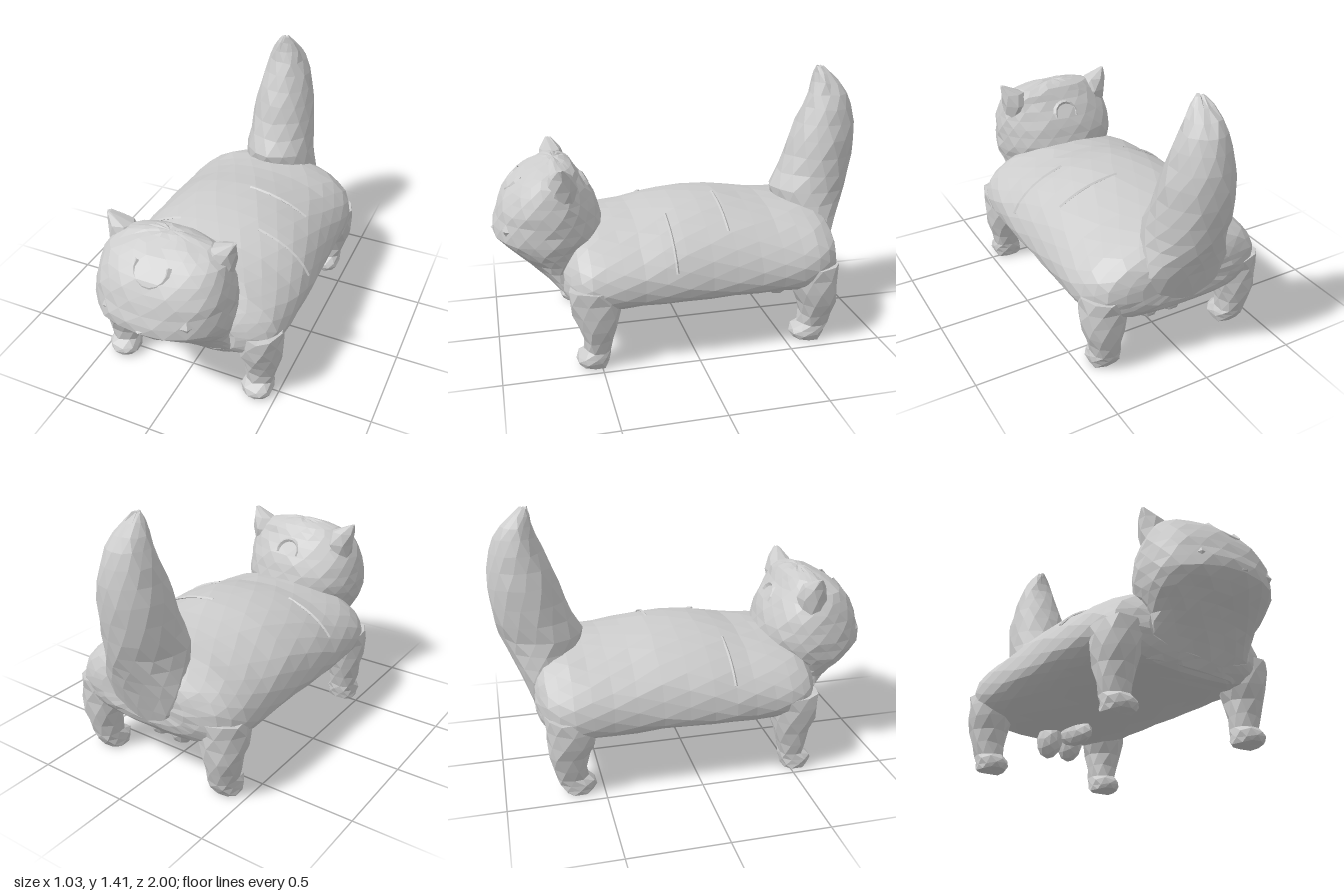
import * as THREE from 'three';

const material = new THREE.MeshStandardMaterial({ color: 0xcccccc, flatShading: true, side: THREE.DoubleSide });

// Small repeatable wobble that gives the hand-cut facets
const wobble = (i, j) => {
  const s = Math.sin(i * 127.1 + j * 311.7) * 43758.5453;
  return (s - Math.floor(s) - 0.5) * 0.016;
};
const power = (v, e) => Math.sign(v) * Math.pow(Math.abs(v), e);

// Smoothly interpolate rows of numbers
function refine(rows, count) {
  const out = [];
  for (let i = 0; i <= count; i++) {
    const t = (i / count) * (rows.length - 1);
    const k = Math.min(Math.floor(t), rows.length - 2), f = t - k;
    const at = n => rows[Math.max(0, Math.min(rows.length - 1, n))];
    out.push(rows[k].map((_, c) => {
      const [a, b, d, e] = [at(k - 1)[c], at(k)[c], at(k + 1)[c], at(k + 2)[c]];
      return b + 0.5 * f * (d - a + f * (2 * a - 5 * b + 4 * d - e + f * (3 * (b - d) + e - a)));
    }));
  }
  return out;
}

// Skin closed rings; pointAt(row, angle) returns [x, y, z]
function loft(name, rows, count, sides, pointAt, rough) {
  const pos = [], index = [];
  refine(rows, count).forEach((row, i) => {
    for (let j = 0; j < sides; j++) {
      const a = ((j + (i % 2) * 0.5) / sides) * Math.PI * 2;
      pos.push(...pointAt(row, a).map((v, c) => v + rough * wobble(i * 3 + c, j)));
    }
  });
  for (let i = 0; i < count; i++) for (let j = 0; j < sides; j++) {
    const k = (j + 1) % sides;
    const a = i * sides + j, b = i * sides + k, c = a + sides, d = b + sides;
    if (i % 2) index.push(a, d, c, a, b, d);
    else index.push(a, b, c, b, d, c);
  }
  // End caps
  for (const end of [0, count]) {
    const m = [0, 0, 0];
    for (let j = 0; j < sides; j++) for (let c = 0; c < 3; c++) m[c] += pos[(end * sides + j) * 3 + c] / sides;
    const centre = pos.length / 3;
    pos.push(...m);
    for (let j = 0; j < sides; j++) {
      const a = end * sides + j, b = end * sides + (j + 1) % sides;
      index.push(centre, ...(end ? [a, b] : [b, a]));
    }
  }
  const g = new THREE.BufferGeometry();
  g.setAttribute('position', new THREE.Float32BufferAttribute(pos, 3));
  g.setIndex(index);
  g.computeVertexNormals();
  return named(name, g);
}

function named(name, geometry) {
  const mesh = new THREE.Mesh(geometry, material);
  mesh.name = name;
  return mesh;
}

// Body rows: z, half width, widest height, top, bottom
const bodyRows = [
  [-0.81, 0.26, 0.46, 0.58, 0.36], [-0.76, 0.42, 0.44, 0.66, 0.29], [-0.64, 0.495, 0.43, 0.7, 0.26],
  [-0.45, 0.505, 0.42, 0.715, 0.26], [-0.2, 0.505, 0.42, 0.755, 0.265], [0.06, 0.515, 0.42, 0.75, 0.265],
  [0.28, 0.515, 0.42, 0.705, 0.265], [0.47, 0.505, 0.42, 0.68, 0.26], [0.59, 0.465, 0.42, 0.64, 0.26],
  [0.66, 0.32, 0.42, 0.55, 0.32],
];
function bodyPoint([z, w, y, top, bottom], a) {
  const c = Math.cos(a), s = Math.sin(a);
  return s >= 0 ? [w * c, y + (top - y) * s, z]
    : [w * power(c, 0.75), y + (y - bottom) * power(s, 0.75), z];
}

// Upright rows: y, centre x, half width, back z, front z
const uprightPoint = e => ([y, x, w, back, front], a) => [
  x + w * power(Math.cos(a), e), y,
  (back + front) / 2 - (front - back) / 2 * power(Math.sin(a), e),
];

export function createModel() {
  const model = new THREE.Group();
  model.name = 'cat';

  model.add(loft('body', bodyRows, 18, 26, bodyPoint, 0.5));

  // Head, with the chest running up to the chin
  model.add(loft('head', [
    [0.275, 0, 0.27, 0.54, 0.62], [0.37, 0, 0.3, 0.56, 0.71], [0.46, -0.01, 0.3, 0.55, 0.8],
    [0.54, -0.02, 0.33, 0.5, 0.9], [0.62, -0.02, 0.35, 0.42, 0.985], [0.72, -0.02, 0.35, 0.43, 0.97],
    [0.82, -0.015, 0.335, 0.47, 0.935], [0.91, -0.01, 0.295, 0.53, 0.86], [0.97, -0.01, 0.21, 0.57, 0.76],
    [1.0, -0.01, 0.07, 0.63, 0.69],
  ], 18, 20, uprightPoint(0.92), 0.6));

  // Nose and mouth: a wide flat wedge
  const nose = named('nose', new THREE.ConeGeometry(0.11, 0.07, 6));
  nose.rotation.x = Math.PI / 2;
  nose.scale.z = 0.3;
  nose.position.set(-0.02, 0.635, 0.965);
  model.add(nose);

  // Curled fur marks on the forehead and the back of the head
  for (const [y, z, tilt, size] of [[0.905, 0.85, -0.72, 0.085], [0.84, 0.493, Math.PI + 0.5, 0.065]]) {
    const curl = named('furCurl', new THREE.TorusGeometry(size, 0.014, 4, 9, Math.PI * 1.2));
    curl.position.set(-0.01, y, z);
    curl.rotation.set(tilt, 0, 2.8);
    model.add(curl);
  }

  for (const side of [-1, 1]) {
    const label = side > 0 ? 'left' : 'right';

    // Ears: broad triangles, upright outside and sloping inside
    model.add(loft(label + 'Ear', [
      [0.82, -0.015 + side * 0.25, 0.07, 0.58, 0.72], [0.9, -0.015 + side * 0.25, 0.082, 0.565, 0.725],
      [0.965, -0.015 + side * 0.268, 0.068, 0.59, 0.705], [1.015, -0.015 + side * 0.325, 0.01, 0.64, 0.67],
    ], 3, 7, uprightPoint(1), 0.3));

    // Eyes: faceted studs
    const eye = named(label + 'Eye', new THREE.OctahedronGeometry(0.05));
    eye.position.set(-0.015 + side * 0.205, 0.685, 0.915);
    eye.scale.z = 0.6;
    eye.rotation.y = side * 0.6;
    model.add(eye);

    // Legs, paws pointing forward
    model.add(loft(label + 'FrontLeg', [
      [0.005, side * 0.395, 0.075, 0.46, 0.61], [0.05, side * 0.395, 0.083, 0.45, 0.62],
      [0.1, side * 0.4, 0.075, 0.445, 0.575], [0.21, side * 0.405, 0.093, 0.425, 0.6],
      [0.32, side * 0.395, 0.115, 0.385, 0.645], [0.43, side * 0.4, 0.105, 0.38, 0.65],
    ], 8, 9, uprightPoint(0.85), 0.8));
    model.add(loft(label + 'BackLeg', [
      [0.005, side * 0.375, 0.075, -0.7, -0.55], [0.05, side * 0.375, 0.08, -0.73, -0.54],
      [0.1, side * 0.38, 0.075, -0.745, -0.585], [0.21, side * 0.39, 0.095, -0.765, -0.575],
      [0.32, side * 0.385, 0.12, -0.78, -0.525], [0.43, side * 0.385, 0.11, -0.78, -0.53],
    ], 8, 9, uprightPoint(0.85), 0.8));
  }

  // Tail: thick plume curving up from the rump
  model.add(loft('tail', [
    [0.34, 0, 0.16, -0.8, -0.74], [0.5, 0, 0.23, -0.86, -0.7], [0.62, 0, 0.225, -0.91, -0.6],
    [0.72, -0.005, 0.2, -0.95, -0.53], [0.85, -0.01, 0.185, -0.985, -0.59], [1.0, -0.01, 0.172, -1, -0.635],
    [1.13, -0.01, 0.143, -0.99, -0.69], [1.25, -0.012, 0.108, -0.955, -0.735],
    [1.34, -0.018, 0.068, -0.89, -0.76], [1.4, -0.02, 0.022, -0.81, -0.775],
  ], 14, 14, uprightPoint(1), 0.7));

  // Lumps under the rear belly: centre, radii, tilt
  for (const [x, y, z, rx, ry, rz, tilt] of [
    [0.02, 0.235, -0.41, 0.055, 0.07, 0.145, 0.12], [-0.055, 0.215, -0.56, 0.07, 0.1, 0.08, 0.2],
    [0.08, 0.215, -0.56, 0.065, 0.095, 0.08, 0.2],
  ]) {
    const lump = named('bellyLump', new THREE.IcosahedronGeometry(1, 1));
    lump.scale.set(rx, ry, rz);
    lump.rotation.x = tilt;
    lump.position.set(x, y, z);
    model.add(lump);
  }

  // Faint coat ridges lying on the back: z, start angle, end angle
  const sections = refine(bodyRows, 108);
  for (const [z, from, to] of [[0.18, 2.75, 2.0], [0.12, 0.25, 1.15], [-0.17, 0.75, 1.5]]) {
    const row = sections.reduce((a, b) => (Math.abs(b[0] - z) < Math.abs(a[0] - z) ? b : a));
    const path = [0, 1, 2, 3, 4].map(i => new THREE.Vector3(...bodyPoint(row, from + (to - from) * i / 4)));
    model.add(named('coatRidge', new THREE.TubeGeometry(new THREE.CatmullRomCurve3(path), 6, 0.008, 4)));
  }
  return model;
}
